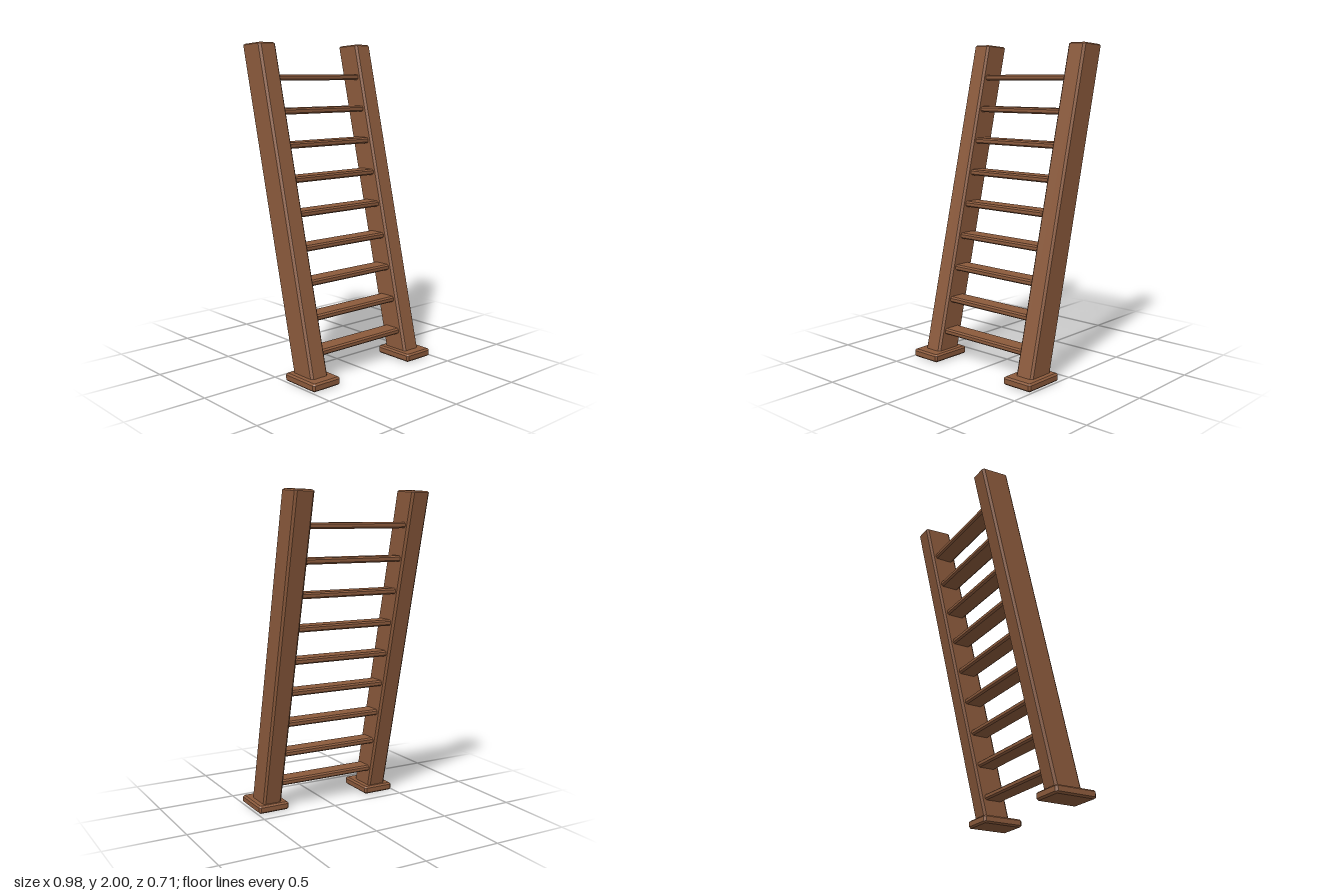
import * as THREE from 'three';
import { ConvexGeometry } from 'three/addons/geometries/ConvexGeometry.js';

const LEAN = -0.2425; // z shift per unit of height
const leanZ = (y) => 0.2135 + LEAN * y;

// Box with chamfered edges; cx, cy, cz are the chamfer sizes along each axis.
// The optional bend(point) moves the corners, e.g. to shear the box.
function chamferBox(w, h, d, [cx, cy, cz], bend = (p) => p) {
  const points = [];
  for (const sx of [-1, 1]) for (const sy of [-1, 1]) for (const sz of [-1, 1]) {
    const x = w / 2, y = h / 2, z = d / 2;
    for (const [px, py, pz] of [[x, y - cy, z - cz], [x - cx, y, z - cz], [x - cx, y - cy, z]]) {
      points.push(bend(new THREE.Vector3(sx * px, sy * py, sz * pz)));
    }
  }
  return new ConvexGeometry(points);
}

export function createModel() {
  const group = new THREE.Group();
  group.name = 'leaningLadder';
  const wood = new THREE.MeshStandardMaterial({ color: 0x8b5a3c });
  wood.name = 'brownWood';

  const add = (name, geometry, x, y, z) => {
    const mesh = new THREE.Mesh(geometry, wood);
    mesh.name = name;
    mesh.position.set(x, y, z);
    group.add(mesh);
  };

  // Side rails: sheared backwards, with an almost level top
  const bottom = 0.02, top = 1.995;
  const railGeometry = chamferBox(0.125, top - bottom, 0.175, [0.013, 0.008, 0.013], (p) => {
    const z = p.z;
    p.z += LEAN * p.y;
    p.y += 0.06 * z;
    return p;
  });
  const footGeometry = chamferBox(0.208, 0.05, 0.27, [0.012, 0.01, 0.012]);
  const middle = (bottom + top) / 2;
  for (const [side, s] of [['left', 1], ['right', -1]]) {
    add(side + 'Rail', railGeometry, s * 0.3875, middle, leanZ(middle));
    add(side + 'Foot', footGeometry, s * 0.3875, 0.025, 0.222);
  }

  // Level rungs, running a little way into the rails
  const rungGeometry = chamferBox(0.7, 0.037, 0.122, [0.01, 0.009, 0.012]);
  for (let i = 0; i < 9; i++) {
    const y = 0.17 + i * 0.2025;
    add('rung' + (i + 1), rungGeometry, 0, y, leanZ(y));
  }
  return group;
}
